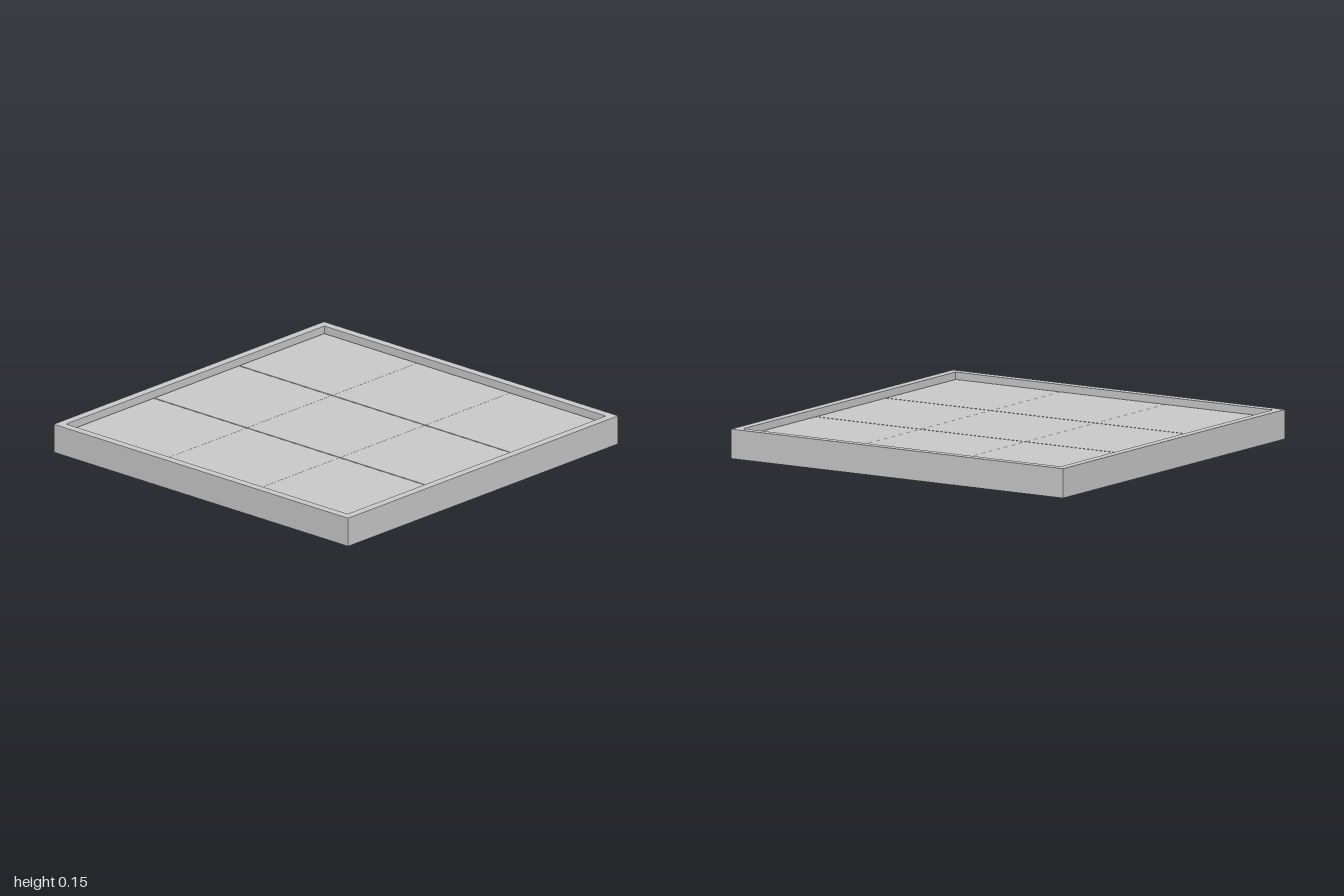
import * as THREE from 'three';

const HEIGHT = 0.15, INNER = 0.956, FLOOR = 0.08, TILE_TOP = 0.115;
const PITCH = 0.632, TILE_WIDTH = 0.626;

export function createModel() {
  const group = new THREE.Group();
  const material = new THREE.MeshStandardMaterial({ color: 0xcccccc, flatShading: true });

  // Square tray: a four-sided lathe whose profile runs under, up, over the rim and onto the floor
  const profile = [
    [0, 0], [1, 0], [1, HEIGHT], [INNER, HEIGHT], [INNER, FLOOR], [0, FLOOR],
  ].map(([r, y]) => new THREE.Vector2(r * Math.SQRT2, y));
  const trayGeometry = new THREE.LatheGeometry(profile, 4).rotateY(Math.PI / 4).toNonIndexed();
  trayGeometry.computeVertexNormals();
  const tray = new THREE.Mesh(trayGeometry, material);
  tray.name = 'tray';
  group.add(tray);

  // Nine tiles: narrow gaps between columns, rows touching
  const tiles = new THREE.Group();
  tiles.name = 'tiles';
  const tileGeometry = new THREE.BoxGeometry(TILE_WIDTH, TILE_TOP - FLOOR, PITCH - 0.001);
  for (let column = -1; column <= 1; column++) {
    for (let row = -1; row <= 1; row++) {
      const tile = new THREE.Mesh(tileGeometry, material);
      tile.name = 'tile';
      tile.position.set(column * PITCH, (TILE_TOP + FLOOR) / 2, row * PITCH);
      tiles.add(tile);
    }
  }
  group.add(tiles);
  return group;
}
